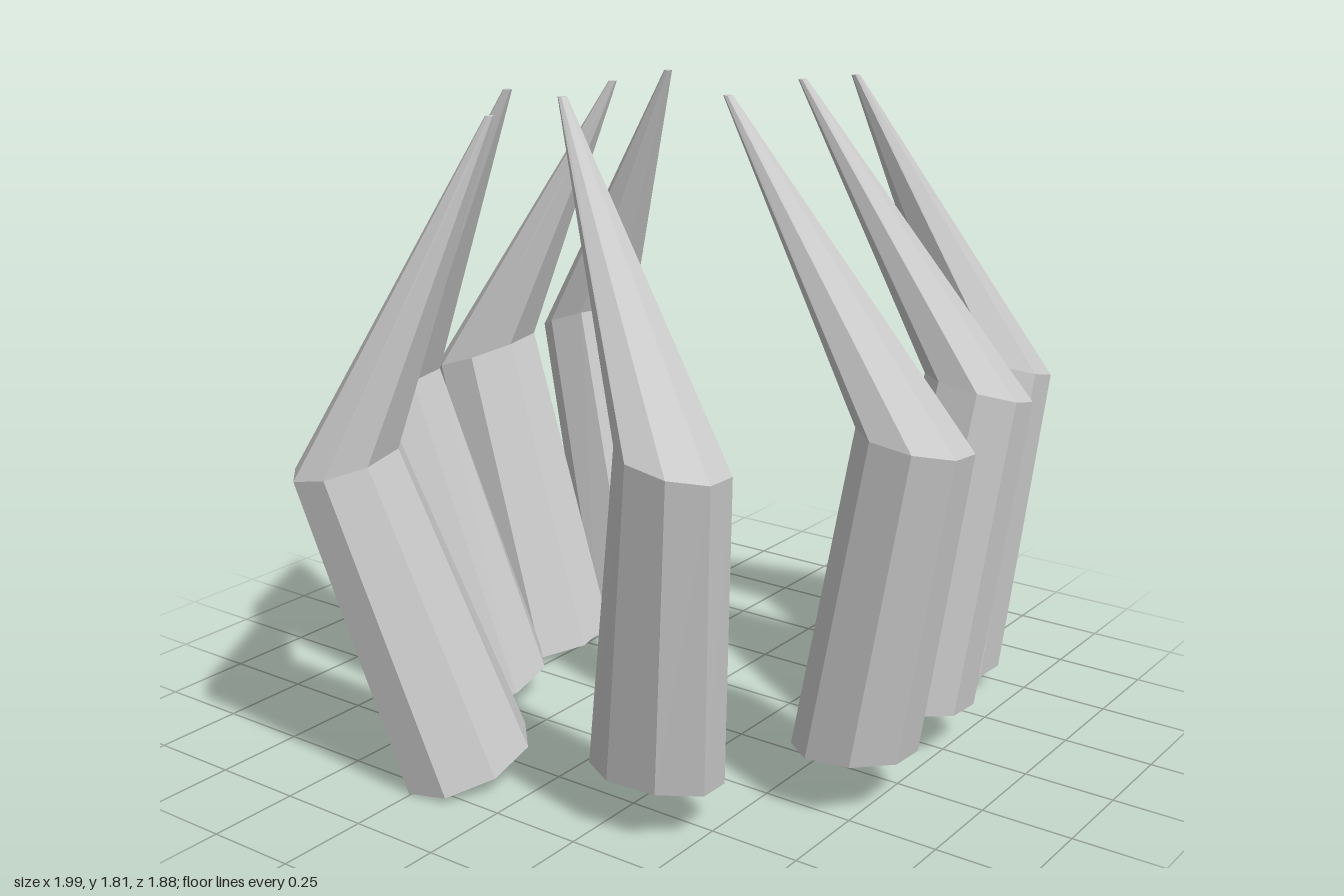
import * as THREE from 'three';

// Each claw: two tilted oval rings and a point.
// ring = [x, y, z, half width in x, half width in z, rise along x, rise along z]
const CLAWS = [
  { name: 'rightClawBack', base: [-0.59, 0.035, -0.63, 0.17, 0.17, 0.12, -0.1], knuckle: [-0.855, 0.92, -0.725, 0.15, 0.15, 0.35, 0.1], tip: [-0.45, 1.75, -0.61] },
  { name: 'rightClawMidBack', base: [-0.59, 0.045, -0.195, 0.17, 0.18, 0.1, -0.15], knuckle: [-0.86, 0.91, -0.22, 0.145, 0.165, 0.33, -0.1], tip: [-0.47, 1.74, -0.365] },
  { name: 'rightClawMidFront', base: [-0.485, 0.075, 0.22, 0.15, 0.185, 0.06, -0.2], knuckle: [-0.75, 0.94, 0.31, 0.135, 0.16, 0.27, -0.1], tip: [-0.315, 1.79, 0.28] },
  { name: 'rightClawFront', base: [-0.215, 0.05, 0.62, 0.15, 0.195, 0.1, -0.2], knuckle: [-0.45, 0.89, 0.785, 0.125, 0.16, 0.15, -0.15], tip: [-0.14, 1.765, 0.55] },
  { name: 'leftClawFront', base: [0.35, 0.14, 0.535, 0.185, 0.145, 0, 0.14], knuckle: [0.485, 1.025, 0.65, 0.14, 0.14, -0.2, 0.1], tip: [-0.005, 1.81, 0.435] },
  { name: 'leftClawMidFront', base: [0.69, 0.15, 0.13, 0.16, 0.178, 0.05, 0.14], knuckle: [0.86, 1.025, 0.175, 0.14, 0.16, -0.15, 0.15], tip: [0.33, 1.815, 0.21] },
  { name: 'leftClawMidBack', base: [0.64, 0.13, -0.255, 0.17, 0.188, 0.02, 0.16], knuckle: [0.755, 1.02, -0.355, 0.138, 0.16, -0.15, 0.25], tip: [0.275, 1.81, -0.215] },
  { name: 'leftClawBack', base: [0.53, 0.085, -0.625, 0.17, 0.19, 0, 0.14], knuckle: [0.595, 0.975, -0.78, 0.15, 0.17, -0.12, 0.26], tip: [0.29, 1.8, -0.46] },
];

const SIDES = 8;
const TIP_RADIUS = 0.012;
const PHASE = 0.5;

// An eight-sided cylinder whose three rows are moved to base, knuckle and tip
function clawGeometry({ base, knuckle, tip }) {
  const rows = [base, knuckle, [...tip, TIP_RADIUS, TIP_RADIUS, 0, 0]];
  const geometry = new THREE.CylinderGeometry(1, 1, 2, SIDES, 2, false, PHASE);
  const p = geometry.attributes.position;
  for (let i = 0; i < p.count; i++) {
    const [x, y, z, rx, rz, riseX, riseZ] = rows[Math.round(p.getY(i)) + 1];
    const dx = p.getX(i) * rx;
    const dz = p.getZ(i) * rz;
    p.setXYZ(i, x + dx, y + dx * riseX + dz * riseZ, z + dz);
  }
  const flat = geometry.toNonIndexed();
  flat.computeVertexNormals();
  return flat;
}

export function createModel() {
  const model = new THREE.Group();
  model.name = 'clawRing';
  const material = new THREE.MeshStandardMaterial({ color: 0xcccccc, flatShading: true });
  for (const claw of CLAWS) {
    const mesh = new THREE.Mesh(clawGeometry(claw), material);
    mesh.name = claw.name;
    model.add(mesh);
  }
  return model;
}
